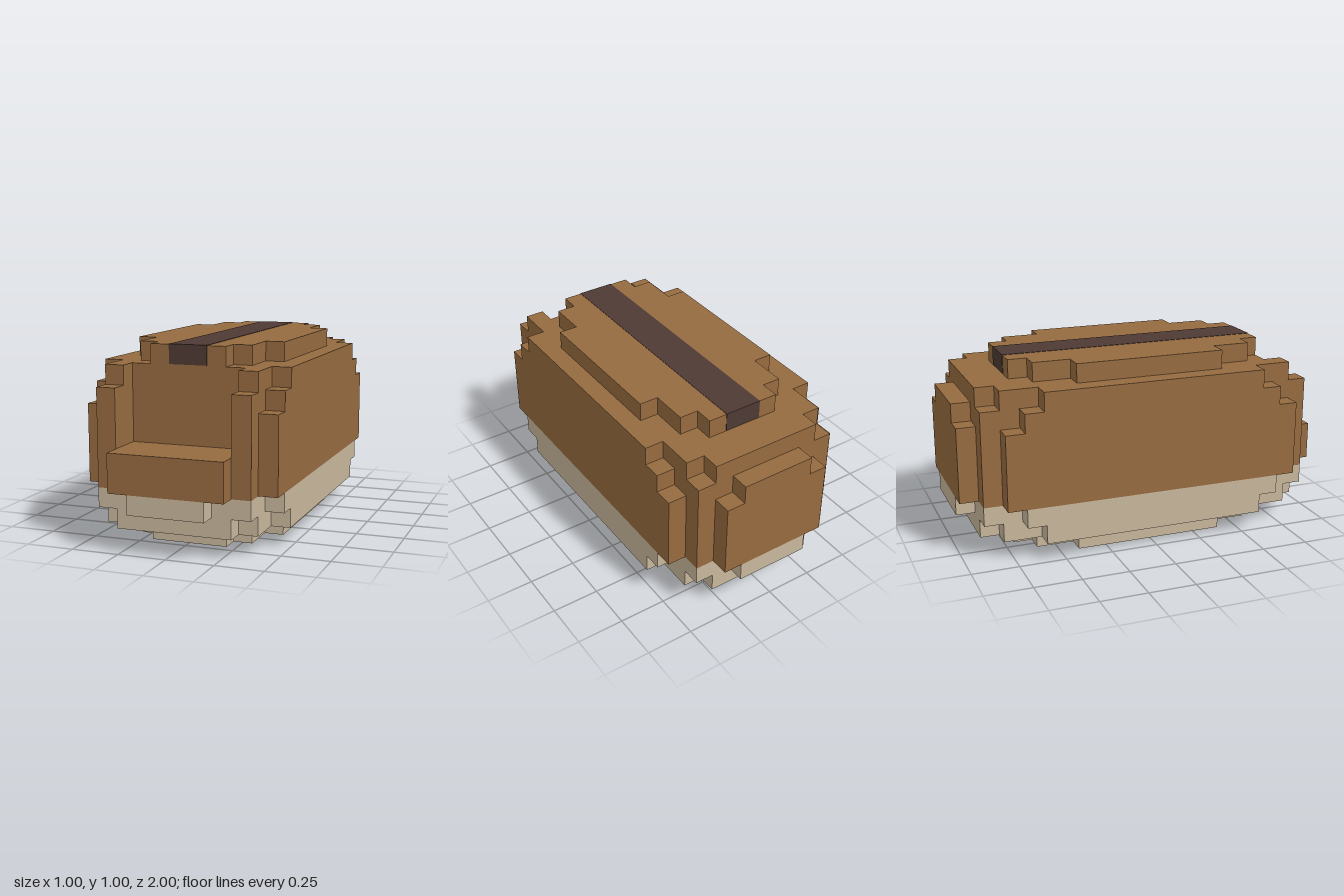
import * as THREE from 'three';

const crust = new THREE.MeshStandardMaterial({ color: 0x966b40 });
crust.name = 'brown';
const base = new THREE.MeshStandardMaterial({ color: 0xc9b79c });
base.name = 'cream';
const dark = new THREE.MeshStandardMaterial({ color: 0x4e3a34 });
dark.name = 'darkBrown';

// Stepped outlines, outside in: [half width, half length]
const cap = [[0.4, 0.4], [0.3, 0.6], [0.2, 0.7]];
const shoulder = [[0.5, 0.6], [0.4, 0.8], [0.3, 0.9]];
const bevel = [[0.5, 0.7], [0.4, 0.9], [0.2, 1]];
const belly = [[0.5, 0.8], [0.4, 0.9], [0.3, 1]];

// Staircase from the outer side towards the middle of one end
function stairs(steps) {
  const pts = [];
  steps.forEach(([x, z], i) => {
    pts.push([x, z]);
    if (i < steps.length - 1) pts.push([steps[i + 1][0], z]);
  });
  return pts;
}

// One horizontal layer; a notched layer is cut open at the front
function layer(name, steps, y0, y1, material, notched = false) {
  const front = stairs(notched ? [steps[0], steps[1], [0.3, 0.7]] : steps);
  const back = stairs(steps);
  // shape y is -z
  const pts = [
    ...front.slice().reverse().map(([x, z]) => [x, -z]),
    ...back.map(([x, z]) => [x, z]),
    ...back.slice().reverse().map(([x, z]) => [-x, z]),
    ...front.map(([x, z]) => [-x, -z]),
  ];
  const shape = new THREE.Shape(pts.map(([x, y]) => new THREE.Vector2(x, y)));
  const geo = new THREE.ExtrudeGeometry(shape, { depth: y1 - y0, bevelEnabled: false });
  geo.rotateX(-Math.PI / 2);
  const mesh = new THREE.Mesh(geo, material);
  mesh.position.y = y0;
  mesh.name = name;
  return mesh;
}

export function createModel() {
  const group = new THREE.Group();
  group.name = 'blockyLoaf';

  // Pale underside
  group.add(layer('foot', cap, 0, 0.1, base));
  group.add(layer('lowerShoulder', shoulder, 0.1, 0.2, base));
  group.add(layer('lowerBevel', bevel, 0.2, 0.3, base));

  // Brown body with the front recess above 0.5
  group.add(layer('bodyWithFrontLedge', belly, 0.3, 0.5, crust));
  group.add(layer('bodyAroundRecess', belly, 0.5, 0.7, crust, true));
  group.add(layer('upperBevel', bevel, 0.7, 0.8, crust, true));
  group.add(layer('upperShoulder', shoulder, 0.8, 0.9, crust, true));
  group.add(layer('topCap', cap, 0.9, 1, crust));

  // Dark band along the top, wrapping over both ends of the cap
  const stripe = new THREE.Mesh(new THREE.BoxGeometry(0.2, 0.1, 1.404), dark);
  stripe.position.y = 0.952;
  stripe.name = 'topStripe';
  group.add(stripe);

  return group;
}
